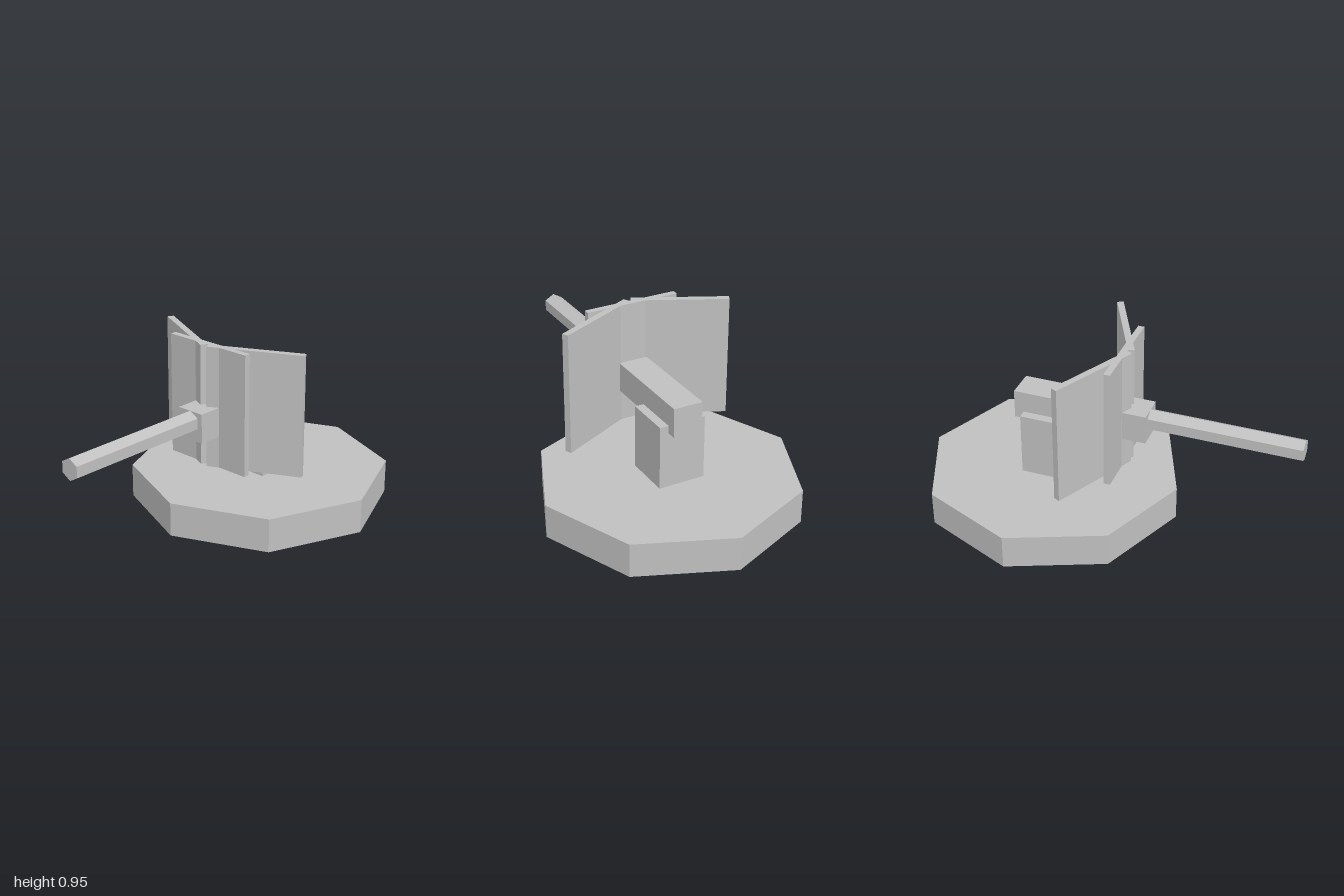
import * as THREE from 'three';

export function createModel() {
  const model = new THREE.Group();
  const grey = new THREE.MeshStandardMaterial({ color: 0xc0c0c0, flatShading: true });
  grey.name = 'light grey';

  const add = (name, geometry, x, y, z) => {
    const mesh = new THREE.Mesh(geometry, grey);
    mesh.name = name;
    mesh.position.set(x, y, z);
    model.add(mesh);
    return mesh;
  };
  const box = (w, h, d) => new THREE.BoxGeometry(w, h, d);

  // Octagonal base and the post standing on it
  add('base', new THREE.CylinderGeometry(0.68, 0.68, 0.18, 8), 0, 0.09, -0.32);
  add('post', box(0.25, 0.34, 0.25), 0, 0.35, -0.325);

  // Gun body and six-sided barrel
  add('body', box(0.156, 0.155, 0.71), 0, 0.557, -0.145);
  add('barrel', new THREE.CylinderGeometry(0.057, 0.057, 0.79, 6), 0, 0.578, 0.605)
    .rotation.x = Math.PI / 2;

  // Shield: a flat middle plate crossed by two swept-back wings
  add('shieldPlate', box(0.5, 0.64, 0.033), 0, 0.63, 0.069);
  for (const side of [1, -1]) {
    const name = side > 0 ? 'leftShieldWing' : 'rightShieldWing';
    add(name, box(0.495, 0.64, 0.0345), side * 0.2335, 0.63, -0.009)
      .rotation.y = side * 0.456;
  }

  return model;
}
